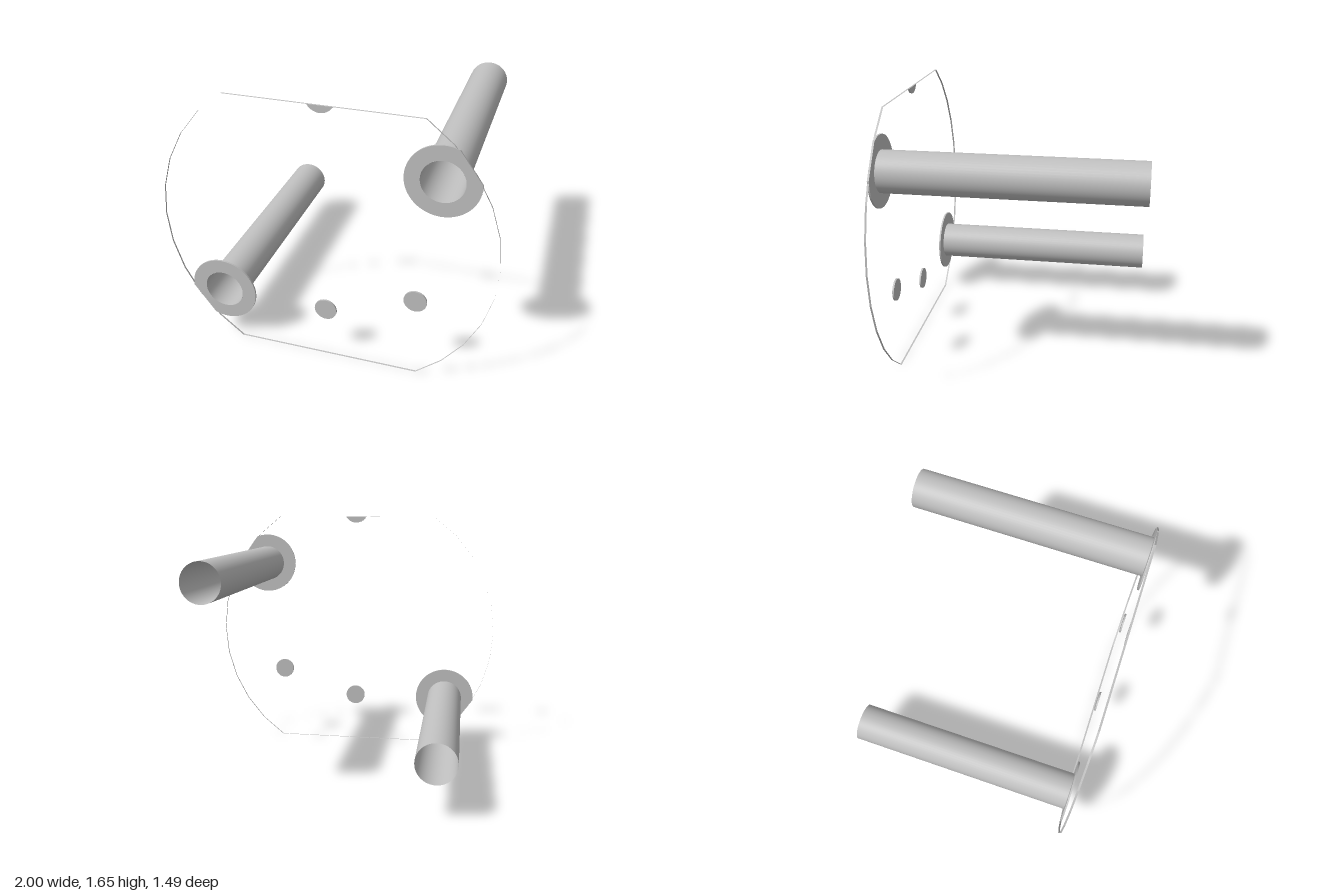
import * as THREE from 'three';

const FRONT = 0.745, BACK = 0.734, MID_Y = 0.8275;

export function createModel() {
  const group = new THREE.Group();
  const metal = new THREE.MeshStandardMaterial({ color: 0xc0c0c0, side: THREE.DoubleSide });
  metal.name = 'grey metal';

  const add = (name, geometry, x = 0, y = 0, z = 0) => {
    const mesh = new THREE.Mesh(geometry, metal);
    mesh.name = name;
    mesh.position.set(x, y, z);
    group.add(mesh);
    return mesh;
  };
  const plate = (shape) => new THREE.ExtrudeGeometry(shape, {
    depth: FRONT - BACK, bevelEnabled: false, curveSegments: 48,
  });

  // Open rim: two faceted arcs joined by flat top and bottom edges
  const half = Math.asin(MID_Y), steps = 10, outline = [];
  for (const side of [0, Math.PI]) {
    for (let i = 0; i <= steps; i++) {
      const a = side - half + (2 * half * i) / steps;
      outline.push([Math.cos(a), MID_Y + Math.sin(a)]);
    }
  }
  const rim = [];
  outline.forEach(([x0, y0], i) => {
    const [x1, y1] = outline[(i + 1) % outline.length];
    rim.push(x0, y0, BACK, x1, y1, BACK, x1, y1, FRONT);
    rim.push(x0, y0, BACK, x1, y1, FRONT, x0, y0, FRONT);
  });
  const rimGeometry = new THREE.BufferGeometry();
  rimGeometry.setAttribute('position', new THREE.Float32BufferAttribute(rim, 3));
  rimGeometry.computeVertexNormals();
  add('plateRim', rimGeometry);

  // Flange: a ring with its outer side cut by a straight chord
  const flangeShape = new THREE.Shape();
  flangeShape.absarc(0, 0, 0.208, THREE.MathUtils.degToRad(68), THREE.MathUtils.degToRad(363), false);
  flangeShape.closePath();
  const bore = new THREE.Path();
  bore.absarc(0, 0, 0.122, 0, Math.PI * 2, true);
  flangeShape.holes.push(bore);
  const flange = plate(flangeShape);

  // Hollow tubes running backwards from the flanges
  const tube = new THREE.CylinderGeometry(0.122, 0.122, FRONT * 2, 48, 1, true);
  tube.rotateX(Math.PI / 2);

  for (const [name, s] of [['left', 1], ['right', -1]]) {
    const x = s * 0.662, y = MID_Y + s * 0.488;
    add(name + 'Flange', flange, x, y, BACK).rotation.z = s > 0 ? 0 : Math.PI;
    add(name + 'Tube', tube, x, y, 0);
  }

  // Small round discs
  const discShape = new THREE.Shape();
  discShape.absarc(0, 0, 0.068, 0, Math.PI * 2, false);
  const disc = plate(discShape);
  add('lowerDisc', disc, 0, 0.335, BACK);
  add('sideDisc', disc, 0.543, 0.52, BACK);

  // Disc segment cut off by the top edge
  const a = Math.asin(0.041 / 0.083);
  const segmentShape = new THREE.Shape();
  segmentShape.absarc(0, 0, 0.083, Math.PI + a, Math.PI * 2 - a, false);
  segmentShape.closePath();
  add('topDiscSegment', plate(segmentShape), 0, MID_Y * 2 + 0.041, BACK);

  return group;
}
